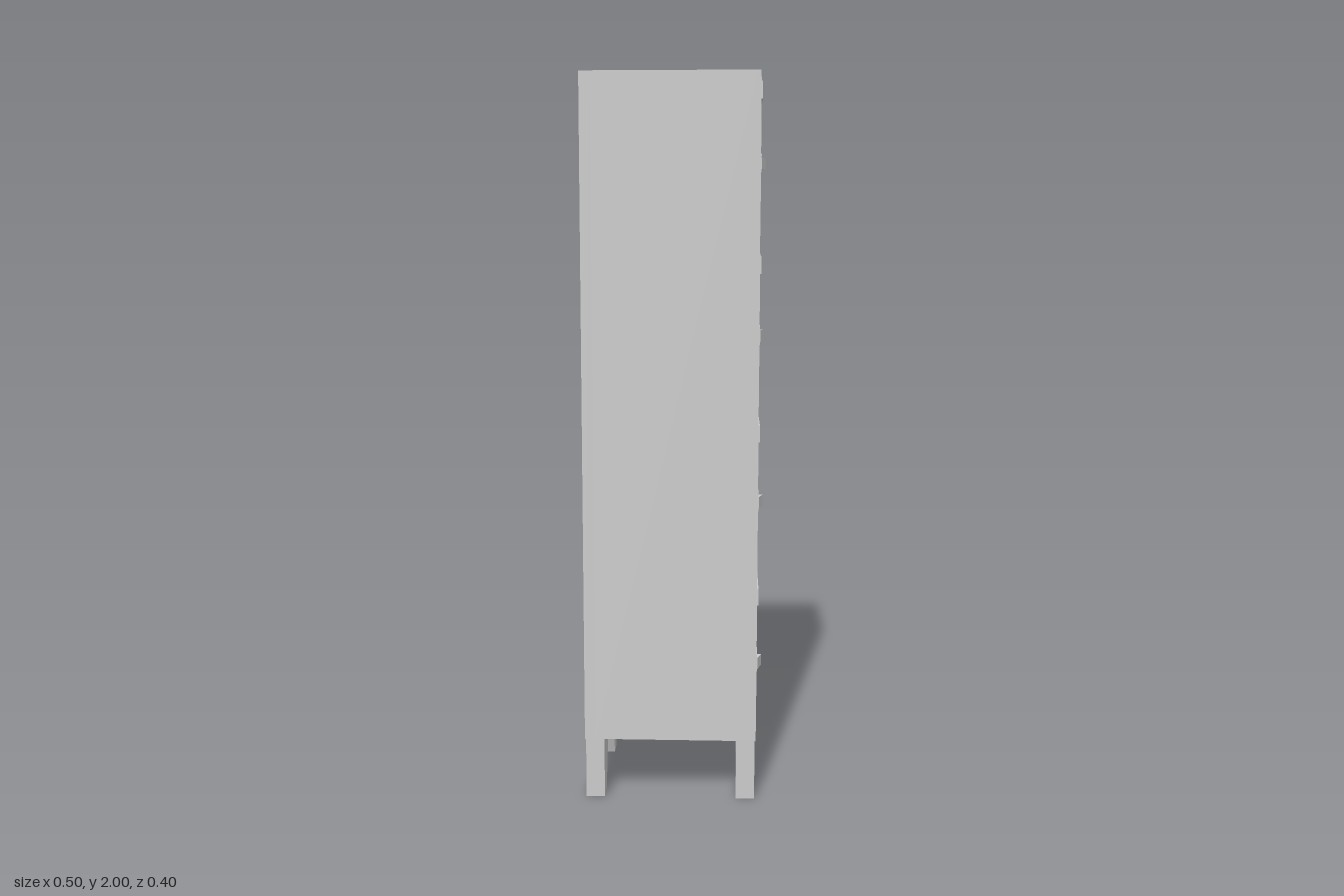
import * as THREE from 'three';

const mat = new THREE.MeshStandardMaterial({ color: 0xcccccc, flatShading: true });
const thinMat = new THREE.MeshStandardMaterial({ color: 0xcccccc, flatShading: true, side: THREE.DoubleSide });

const COUNT = 4, PITCH = 0.46;
const BOTTOM = 0.17, TOP = 2, HALF_Z = 0.2;
const BACK_X = -0.248, FRONT_X = 0.232;
const LIP = 0.03, FRAME = 0.008;

function add(parent, name, geometry, x = 0, y = 0, z = 0, material = mat) {
  const mesh = new THREE.Mesh(geometry, material);
  mesh.name = name;
  mesh.position.set(x, y, z);
  parent.add(mesh);
  return mesh;
}

// Box given by its limits on each axis
function block(parent, name, x0, x1, y0, y1, z0, z1) {
  return add(parent, name, new THREE.BoxGeometry(x1 - x0, y1 - y0, z1 - z0),
    (x0 + x1) / 2, (y0 + y1) / 2, (z0 + z1) / 2);
}

// Upright plate facing x, with one rectangular opening per compartment
function openFrame(parent, name, x, depth, halfWidth, top, bottom) {
  const rect = (P, w, y0, y1) => {
    const p = new P();
    p.moveTo(-w, y0).lineTo(w, y0).lineTo(w, y1).lineTo(-w, y1).closePath();
    return p;
  };
  const shape = rect(THREE.Shape, HALF_Z, BOTTOM, TOP);
  for (let i = 0; i < COUNT; i++) {
    shape.holes.push(rect(THREE.Path, halfWidth, bottom - i * PITCH, top - i * PITCH));
  }
  const geometry = new THREE.ExtrudeGeometry(shape, { depth, bevelEnabled: false });
  geometry.rotateY(Math.PI / 2);
  return add(parent, name, geometry, x);
}

// Wedge-shaped pull, thickest towards the middle of the door
function pullGeometry() {
  const shape = new THREE.Shape();
  shape.moveTo(0, -0.118).lineTo(0.015, -0.118).lineTo(0.004, -0.155).lineTo(0, -0.155).closePath();
  const geometry = new THREE.ExtrudeGeometry(shape, { depth: 0.032, bevelEnabled: false });
  return geometry.rotateX(-Math.PI / 2);
}

// Tapered, hollow leg, open at the top and bottom
function legGeometry(side) {
  const geometry = new THREE.BoxGeometry(0.052, BOTTOM, 1);
  const pos = geometry.attributes.position;
  for (let i = 0; i < pos.count; i++) {
    const inner = pos.getZ(i) * side < 0;
    const innerZ = pos.getY(i) > 0 ? 0.075 : 0.138;
    pos.setZ(i, side * (inner ? innerZ : 0.198));
  }
  const index = Array.from(geometry.index.array);
  geometry.setIndex([...index.slice(0, 12), ...index.slice(24)]);
  geometry.computeVertexNormals();
  return geometry;
}

function createDoor() {
  const door = new THREE.Group();
  door.name = 'door';
  // Panel leaves a shadow gap at the free edge and the bottom
  block(door, 'doorPanel', FRONT_X - FRAME, FRONT_X + 0.001, 1.571, 1.985, -0.182, 0.178);
  // Raised band along the top
  block(door, 'ventBand', FRONT_X, FRONT_X + 0.005, 1.93, 1.977, -0.157, 0.157);
  // Latch plate and pull
  block(door, 'latchPlate', FRONT_X, FRONT_X + 0.003, 1.738, 1.788, 0.085, 0.156);
  add(door, 'pull', pullGeometry(), FRONT_X, 1.746, 0);
  // Hinge knuckles
  for (const y of [1.885, 1.675]) {
    add(door, 'hinge', new THREE.CylinderGeometry(0.004, 0.004, 0.048, 12), FRONT_X + 0.003, y, -0.181);
  }
  return door;
}

export function createModel() {
  const model = new THREE.Group();
  model.name = 'lockerCabinet';

  // Main body between the rear rim and the door frame
  block(model, 'cabinetBody', BACK_X + LIP, FRONT_X - FRAME, BOTTOM, TOP, -HALF_Z, HALF_Z);
  openFrame(model, 'rearRim', BACK_X, LIP, 0.194, 1.99, 1.545);
  openFrame(model, 'doorFrame', FRONT_X - FRAME, FRAME, 0.182, 1.985, 1.565);

  // Stacked doors
  for (let i = 0; i < COUNT; i++) {
    const door = createDoor();
    door.position.y = -i * PITCH;
    model.add(door);
  }

  // Four legs
  for (const x of [-0.219, 0.203]) {
    for (const side of [-1, 1]) {
      add(model, 'leg', legGeometry(side), x, BOTTOM / 2, 0, thinMat);
    }
  }
  return model;
}
